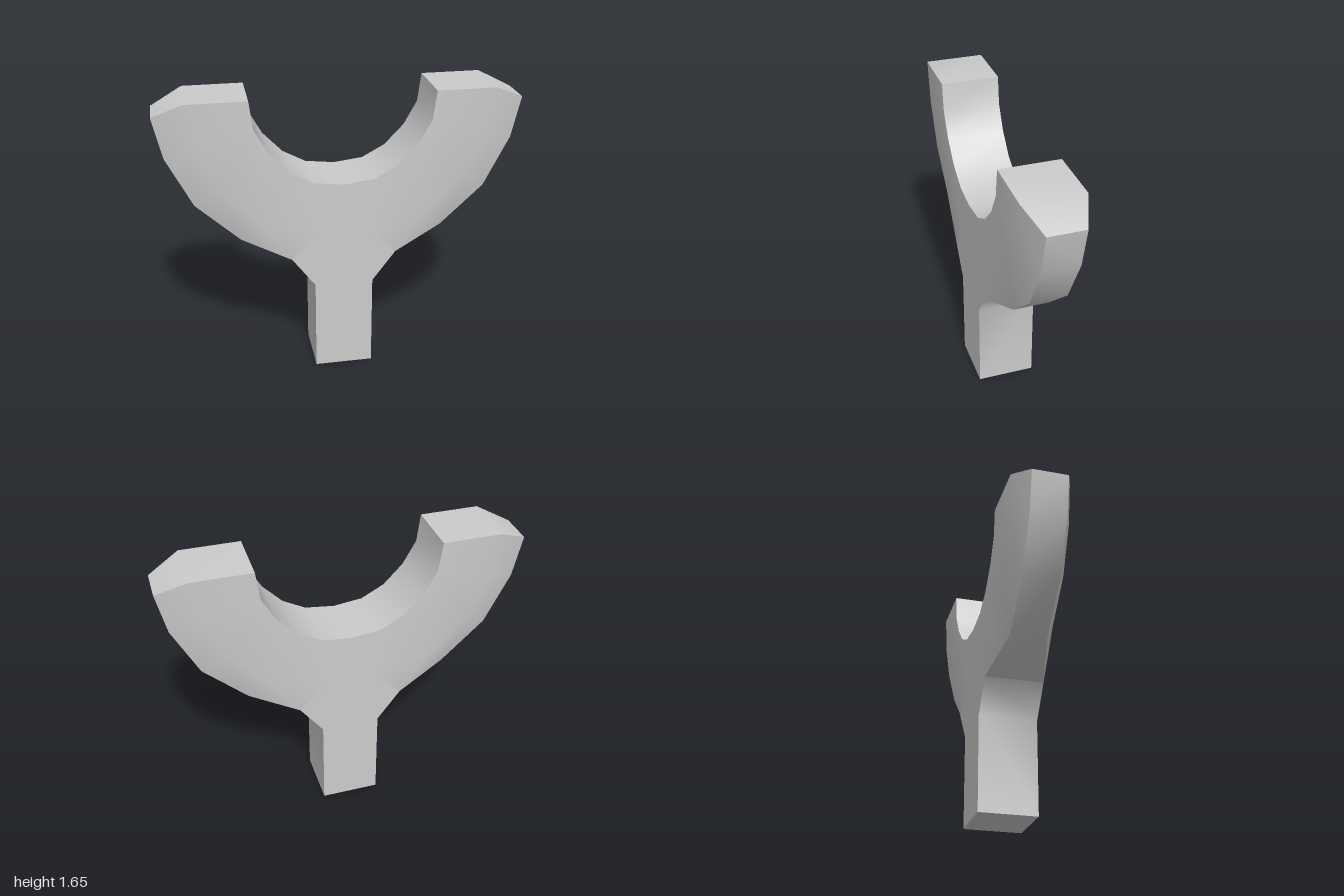
import * as THREE from 'three';

const D = 0.165; // half depth of the body
const RIM = 0.1; // half depth of the narrowed outer rim
const material = new THREE.MeshStandardMaterial({ color: 0xcccccc });

// Arm cross-sections from the tip down to the hub: [x, y] of each rail
const inner = [[0.5, 1.65], [0.48, 1.49], [0.405, 1.355], [0.295, 1.24], [0.165, 1.17]];
const middle = [[0.83, 1.65], [0.79, 1.41], [0.675, 1.165], [0.475, 0.965], [0.165, 0.845]];
const outer = [[1, 1.57], [0.95, 1.34], [0.81, 1.06], [0.57, 0.835], [0.295, 0.715]];
const rimDepth = [RIM, RIM, RIM, RIM, D]; // rim widens to full depth at the hub
const stem = [[0.165, 0], [0.165, 0.54], [0.295, 0.715]];
const mirror = (points) => points.map(([x, y]) => [-x, y]);

// Smooth sheet through a grid of [x, y, z] points
function sheet(name, rows, flip = false) {
  const cols = rows[0].length;
  const index = [];
  for (let r = 0; r < rows.length - 1; r++) {
    for (let c = 0; c < cols - 1; c++) {
      const a = r * cols + c, b = a + cols;
      if (flip) index.push(a, b + 1, b, a, a + 1, b + 1);
      else index.push(a, b, b + 1, a, b + 1, a + 1);
    }
  }
  const geometry = new THREE.BufferGeometry();
  geometry.setAttribute('position', new THREE.Float32BufferAttribute(rows.flat(2), 3));
  geometry.setIndex(index);
  geometry.computeVertexNormals();
  const mesh = new THREE.Mesh(geometry, material);
  mesh.name = name;
  return mesh;
}

// Strip across the depth, following a line of [x, y] points
const strip = (name, points, depth, flip) =>
  sheet(name, points.map(([x, y], i) => [[x, y, depth[i]], [x, y, -depth[i]]]), flip);

function createArm(s) {
  const arm = new THREE.Group();
  arm.name = s > 0 ? 'leftArm' : 'rightArm';
  // Front and back skins, bevelled towards the rim
  for (const f of [1, -1]) {
    const rows = inner.map(([x, y], i) => [
      [s * x, y, f * D],
      [s * middle[i][0], middle[i][1], f * D],
      [s * outer[i][0], outer[i][1], f * rimDepth[i]],
    ]);
    arm.add(sheet(f > 0 ? 'armFront' : 'armBack', rows, s * f < 0));
  }
  // Outer rim and tip
  const side = (points) => (s > 0 ? points : mirror(points));
  arm.add(strip('armRim', side(outer), rimDepth, s < 0));
  arm.add(strip('armTip', side([inner[0], middle[0], outer[0]]), [D, D, RIM], s < 0));
  return arm;
}

export function createModel() {
  const model = new THREE.Group();
  model.name = 'forkedYoke';
  model.add(createArm(1), createArm(-1));

  // Cradle surface between the arms
  const cradle = [...inner, [0, 1.15], ...mirror(inner).reverse()];
  model.add(strip('cradle', cradle, cradle.map(() => D), true));

  // Flat hub and stem faces
  const half = [...stem, middle[4], inner[4]];
  const outline = [...half, [0, 1.15], ...mirror(half).reverse()];
  const shape = new THREE.Shape(outline.map(([x, y]) => new THREE.Vector2(x, y)));
  for (const f of [1, -1]) {
    const face = new THREE.Mesh(new THREE.ShapeGeometry(shape), material);
    face.name = f > 0 ? 'stemFront' : 'stemBack';
    face.position.z = f * D;
    if (f < 0) face.rotation.y = Math.PI;
    model.add(face);
  }

  // Flared stem sides and the foot
  model.add(strip('stemLeft', stem, [D, D, D], true));
  model.add(strip('stemRight', mirror(stem), [D, D, D], false));
  model.add(strip('stemFoot', [[-0.165, 0], [0.165, 0]], [D, D], true));
  return model;
}
